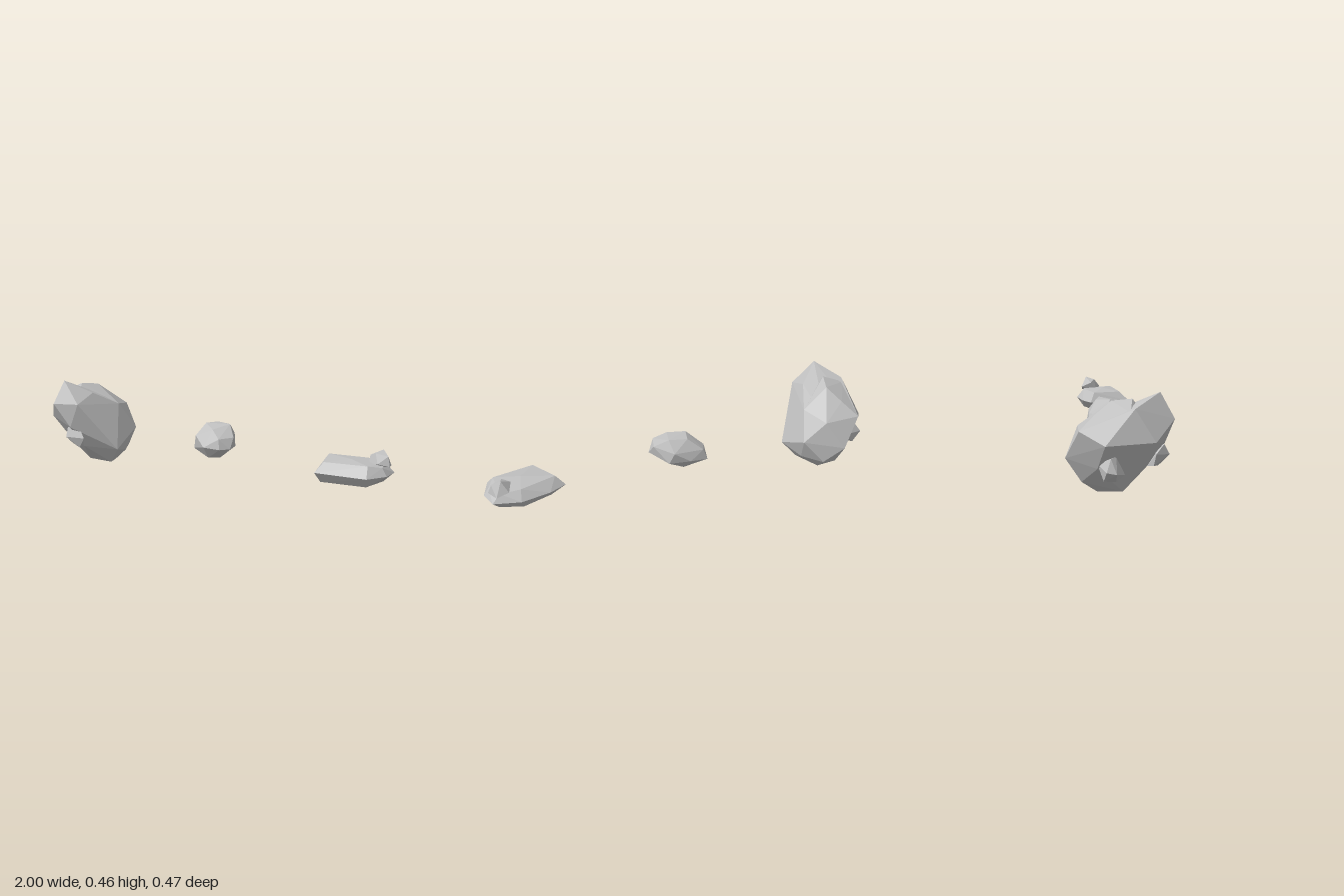
import * as THREE from 'three';
import { ConvexGeometry } from 'three/addons/geometries/ConvexGeometry.js';

const stone = new THREE.MeshStandardMaterial({ color: 0xc0c0c0, flatShading: true });
stone.name = 'grey stone';

// Faceted rock wrapped around a few corner points
function rock(name, corners) {
  const points = corners.map(c => new THREE.Vector3(...c));
  const mesh = new THREE.Mesh(new ConvexGeometry(points), stone);
  mesh.name = name;
  return mesh;
}

function cluster(name, ...parts) {
  const group = new THREE.Group();
  group.name = name;
  group.add(...parts);
  return group;
}

export function createModel() {
  // Corners shared by both lobes of the large boulder
  const boulderBody = [
    [-0.67, 0.32, -0.05], [-0.91, 0.295, -0.18], [-0.73, 0.295, -0.18], [-0.98, 0.24, -0.07],
    [-0.95, 0.25, 0.15], [-0.63, 0.185, -0.14], [-0.81, 0.163, -0.237], [-0.6, 0.1, 0.04],
    [-0.65, 0.07, -0.08], [-0.72, 0.075, -0.185], [-0.8, 0.055, -0.165], [-0.74, 0, -0.095],
    [-0.82, 0.015, 0.015], [-0.67, 0.018, 0.015], [-0.9, 0.13, -0.1], [-0.87, 0.11, 0.08],
    [-0.76, 0.11, 0.12], [-0.78, 0.22, 0.2],
  ];

  // Large leaning boulder: two lobes meeting in a shallow valley, with two chips
  const large = cluster('largeRock',
    rock('frontLobe', [
      ...boulderBody, [-0.84, 0.455, 0.175], [-0.86, 0.34, 0.237], [-0.94, 0.395, 0.06],
      [-0.73, 0.39, 0.08], [-0.73, 0.345, 0.195],
    ]),
    rock('rearLobe', [
      ...boulderBody, [-0.83, 0.425, 0.055], [-0.8, 0.413, -0.035], [-0.85, 0.358, -0.11],
      [-0.94, 0.38, 0.04],
    ]),
    rock('frontChip', [
      [-0.8, 0.22, 0.197], [-0.835, 0.18, 0.16], [-0.715, 0.165, 0.17], [-0.74, 0.115, 0.176],
      [-0.755, 0.22, 0.16], [-0.79, 0.173, 0.222], [-0.815, 0.125, 0.15], [-0.76, 0.115, 0.125],
    ]),
    rock('sideChip', [
      [-1, 0.13, -0.065], [-0.99, 0.12, -0.02], [-0.965, 0.185, -0.045], [-0.93, 0.19, -0.02],
      [-0.915, 0.075, -0.02], [-0.95, 0.085, -0.075], [-0.88, 0.1, 0.02], [-0.88, 0.15, -0.1],
    ]),
  );

  // Small rounded rock in the middle
  const middle = rock('middleRock', [
    [-0.04, 0.315, 0], [0.07, 0.315, -0.05], [-0.02, 0.312, -0.07], [0.04, 0.3, 0.05],
    [-0.12, 0.245, -0.04], [-0.09, 0.255, -0.105], [0.06, 0.26, -0.1], [0.13, 0.265, 0],
    [0.1, 0.265, 0.08], [-0.05, 0.262, 0.07], [-0.135, 0.185, -0.04], [-0.11, 0.2, -0.11],
    [-0.02, 0.21, -0.115], [0.03, 0.22, 0.11], [0.11, 0.215, 0.088], [0.14, 0.215, 0.04],
    [0.08, 0.2, -0.08], [-0.08, 0.19, 0.045], [0.07, 0.16, 0.03], [-0.03, 0.142, 0],
    [-0.09, 0.158, -0.05], [0, 0.158, -0.07], [0.03, 0.162, 0.07],
  ]);

  // Flat slab with one chip on top
  const flat = cluster('flatRock',
    rock('slab', [
      [0.61, 0.21, -0.07], [0.7, 0.21, 0.137], [0.95, 0.21, 0.09], [0.995, 0.21, -0.01],
      [0.98, 0.21, -0.1], [0.85, 0.21, -0.137], [0.7, 0.21, -0.11],
      [0.655, 0.258, -0.05], [0.72, 0.255, 0.09], [0.93, 0.26, 0.05], [0.97, 0.247, -0.01],
      [0.94, 0.25, -0.09], [0.84, 0.257, -0.1], [0.81, 0.266, 0],
      [0.68, 0.165, -0.06], [0.71, 0.162, 0.1], [0.93, 0.165, 0.06], [0.94, 0.167, -0.07],
      [0.83, 0.16, -0.1], [0.81, 0.143, 0.01],
    ]),
    rock('topChip', [
      [0.93, 0.313, -0.085], [0.875, 0.285, -0.06], [0.915, 0.3, -0.04], [0.97, 0.29, -0.06],
      [0.945, 0.26, -0.01], [0.985, 0.245, -0.05], [0.96, 0.24, -0.105], [0.9, 0.26, -0.11],
      [0.885, 0.24, -0.03],
    ]),
  );

  return cluster('floatingRocks', large, middle, flat);
}
